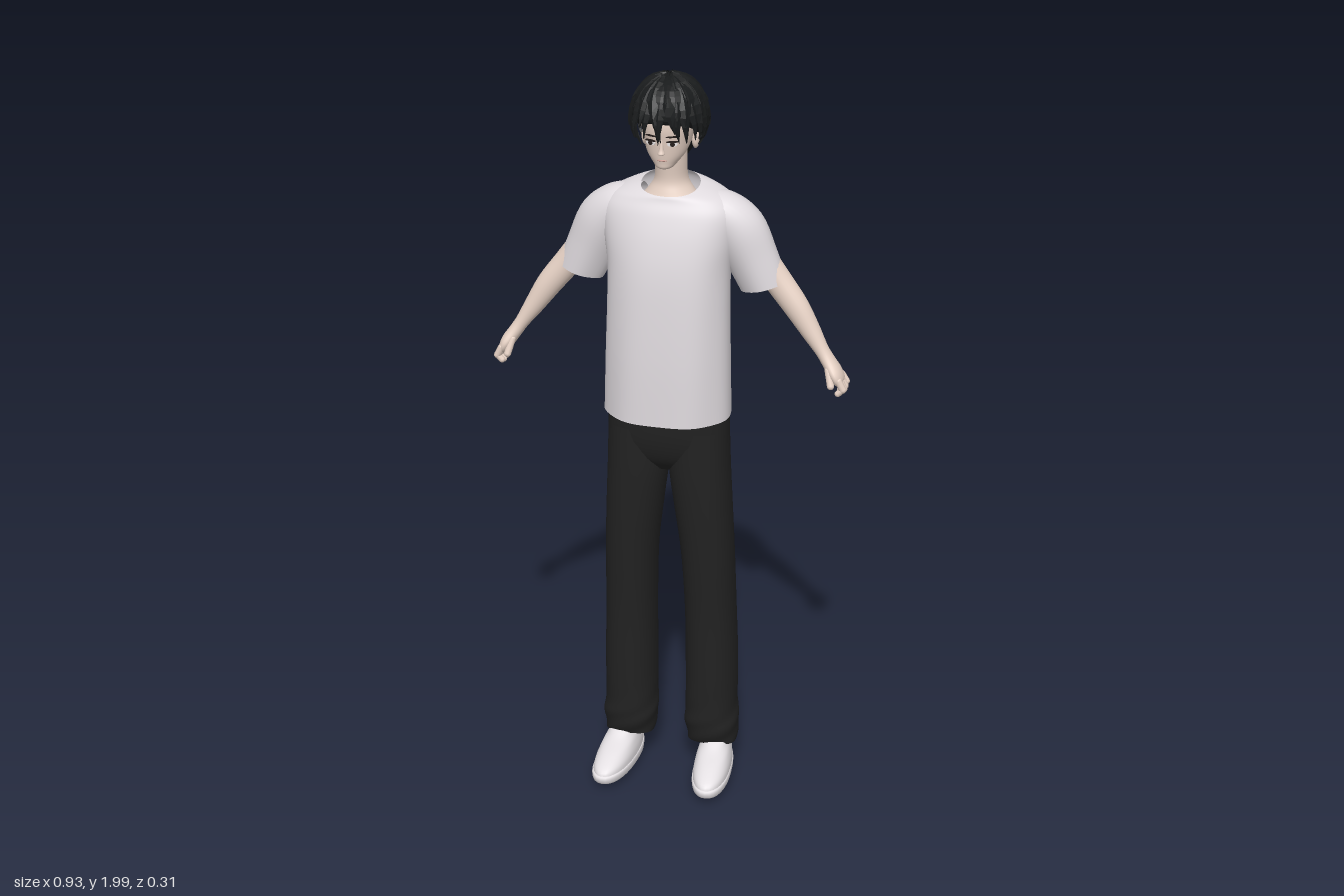
import * as THREE from 'three';

const paint = (name, color, extra = {}) => {
  const m = new THREE.MeshStandardMaterial({ color, ...extra });
  m.name = name;
  return m;
};

// Smooth skin through rings [x, y, z, halfWidth, halfDepth, tilt, slope], listed from bottom to top
function loft(rings, { sides = 32, steps = 5, power = 2, fold = () => 0 } = {}) {
  const pos = [], index = [];
  const rows = (rings.length - 1) * steps;
  const value = (k, f) => {
    const i = Math.min(Math.floor(f), rings.length - 2), t = f - i;
    const at = j => rings[Math.max(0, Math.min(rings.length - 1, j))][k] ?? 0;
    const p0 = at(i - 1), p1 = at(i), p2 = at(i + 1), p3 = at(i + 2);
    const m1 = (p2 - p0) / 2, m2 = (p3 - p1) / 2;
    return p1 + t * (m1 + t * (3 * (p2 - p1) - 2 * m1 - m2 + t * (2 * (p1 - p2) + m1 + m2)));
  };
  const bend = c => Math.sign(c) * Math.abs(c) ** (2 / power);
  for (let r = 0; r <= rows; r++) {
    const [x, y, z, a, b, tilt, slope] = [0, 1, 2, 3, 4, 5, 6].map(k => value(k, r / steps));
    for (let j = 0; j < sides; j++) {
      const t = j / sides * Math.PI * 2, grow = 1 + fold(t, r / rows);
      const u = Math.max(a, 0.0005) * bend(Math.cos(t)) * grow;
      const w = Math.max(b, 0.0005) * bend(Math.sin(t)) * grow;
      pos.push(x + u * Math.cos(tilt), y + u * Math.sin(tilt) + slope * Math.sin(t), z + w);
      if (r < rows) {
        const p = r * sides + j, q = r * sides + (j + 1) % sides;
        index.push(p, p + sides, q, q, p + sides, q + sides);
      }
    }
  }
  const g = new THREE.BufferGeometry();
  g.setAttribute('position', new THREE.Float32BufferAttribute(pos, 3));
  g.setIndex(index);
  g.computeVertexNormals();
  return g;
}

// Pointed hair lock lying on the skull, with a raised ridge and a flared tip
function lock(angle, from, to, width, lift, sweep) {
  const rows = 7, pos = [], index = [];
  const at = (th, phi, k) => [
    0.095 * k * Math.sin(phi) * Math.sin(th),
    1.883 + 0.106 * k * Math.cos(phi),
    -0.033 + 0.107 * k * Math.sin(phi) * Math.cos(th)];
  for (let i = 0; i <= rows; i++) {
    const s = i / rows, phi = from + (to - from) * s, th = angle + sweep * s * s;
    const half = width * (1 - s ** 2.2) / Math.max(0.4, Math.sin(phi));
    const k = 1 + lift * (0.3 + 0.7 * s);
    pos.push(...at(th - half, phi, k - 0.04), ...at(th, phi, k + 0.03 * (1 - s)), ...at(th + half, phi, k - 0.04));
    if (i < rows) for (let c = 0; c < 2; c++) {
      const p = i * 3 + c;
      index.push(p, p + 3, p + 1, p + 1, p + 3, p + 4);
    }
  }
  const g = new THREE.BufferGeometry();
  g.setAttribute('position', new THREE.Float32BufferAttribute(pos, 3));
  g.setIndex(index);
  g.computeVertexNormals();
  return g;
}

export function createModel() {
  const root = new THREE.Group();
  root.name = 'standingMan';
  const skin = paint('skin', 0xe8d3c6);
  const cotton = paint('shirt cotton', 0xdfdade, { side: THREE.DoubleSide });
  const cloth = paint('trouser cloth', 0x222222, { side: THREE.DoubleSide });
  const shoeWhite = paint('shoe white', 0xe4e0e3);
  const hairBlack = paint('hair black', 0x191b1c, { side: THREE.DoubleSide, flatShading: true });
  const eyeWhite = paint('eye white', 0xeeeaea);
  const eyeDark = paint('eye dark', 0x241d1b);
  const lip = paint('lip', 0xc79a90);

  const add = (name, geometry, material, parent = root) => {
    const m = new THREE.Mesh(geometry, material);
    m.name = name;
    parent.add(m);
    return m;
  };
  const mirrored = (rings, s) => rings.map(([x, y, z, a, b, tilt = 0, slope = 0]) => [x * s, y, z, a, b, tilt * s, slope]);
  const limb = (a, b, r) => {
    const p = new THREE.Vector3(...a), d = new THREE.Vector3(...b).sub(p);
    const g = new THREE.CapsuleGeometry(r, d.length(), 4, 10);
    g.applyQuaternion(new THREE.Quaternion().setFromUnitVectors(new THREE.Vector3(0, 1, 0), d.clone().normalize()));
    return g.translate(...p.addScaledVector(d, 0.5).toArray());
  };

  // Shirt body, open at hem and collar
  add('shirtBody', loft([
    [0, 1.095, -0.027, 0.165, 0.127], [0, 1.25, -0.027, 0.161, 0.124], [0, 1.4, -0.03, 0.157, 0.118],
    [0, 1.5, -0.035, 0.158, 0.112], [0, 1.58, -0.043, 0.17, 0.102], [0, 1.64, -0.052, 0.176, 0.09],
    [0, 1.675, -0.058, 0.155, 0.08, 0, -0.004], [0, 1.695, -0.055, 0.115, 0.072, 0, -0.012],
    [0, 1.706, -0.046, 0.075, 0.06, 0, -0.018],
  ], { sides: 64, power: 2.3, fold: (t, v) => 0.012 * Math.sin(7 * t + 3 * v) * (1 - v) ** 1.5 }), cotton);

  // Hips of the trousers
  add('trouserSeat', loft([
    [0, 0.935, -0.037, 0.13, 0.05], [0, 0.975, -0.036, 0.158, 0.08],
    [0, 1.04, -0.032, 0.16, 0.094], [0, 1.14, -0.031, 0.156, 0.098],
  ], { power: 2.4 }), cloth);

  for (const s of [1, -1]) {
    const side = s > 0 ? 'left' : 'right';

    add(side + 'Sleeve', loft(mirrored([
      [0.24, 1.448, -0.065, 0.061, 0.053, 0.28], [0.21, 1.515, -0.064, 0.066, 0.058, 0.45],
      [0.175, 1.585, -0.062, 0.073, 0.064, 0.75], [0.13, 1.632, -0.06, 0.06, 0.062, 1.1],
      [0.07, 1.65, -0.06, 0.045, 0.05, 1.4],
    ], s), { fold: (t, v) => 0.02 * Math.sin(5 * t) * (1 - v) }), cotton);

    add(side + 'Arm', loft(mirrored([
      [0.45, 1.208, -0.036, 0.002, 0.01, 0.65], [0.446, 1.216, -0.036, 0.014, 0.03, 0.65],
      [0.434, 1.238, -0.035, 0.018, 0.034, 0.65], [0.413, 1.268, -0.04, 0.018, 0.025, 0.65],
      [0.395, 1.295, -0.043, 0.019, 0.021, 0.68], [0.365, 1.34, -0.05, 0.026, 0.026, 0.68],
      [0.325, 1.4, -0.055, 0.033, 0.03, 0.68], [0.27, 1.47, -0.062, 0.036, 0.034, 0.68],
      [0.22, 1.54, -0.063, 0.036, 0.036, 0.68],
    ], s), { sides: 24 }), skin);

    // Loosely curled fingers and thumb
    [-0.062, -0.045, -0.028, -0.012].forEach((z, i) => {
      const drop = [0.008, 0.002, 0, 0.004][i];
      add(side + 'Finger' + (i + 1), limb([s * 0.446, 1.225, z], [s * 0.458, 1.198 + drop, z], 0.0095), skin);
      add(side + 'Fingertip' + (i + 1), limb([s * 0.458, 1.198 + drop, z], [s * 0.446, 1.186 + drop, z], 0.0085), skin);
    });
    add(side + 'Thumb', limb([s * 0.418, 1.25, -0.018], [s * 0.428, 1.212, -0.004], 0.0095), skin);

    // Trouser leg, loose at the ankle
    add(side + 'TrouserLeg', loft(mirrored([
      [0.117, 0.085, -0.066, 0.066, 0.068, 0, 0.015], [0.115, 0.15, -0.064, 0.074, 0.079],
      [0.113, 0.21, -0.066, 0.07, 0.083], [0.113, 0.33, -0.066, 0.07, 0.086],
      [0.11, 0.5, -0.059, 0.068, 0.084], [0.104, 0.68, -0.045, 0.07, 0.083],
      [0.092, 0.83, -0.037, 0.076, 0.085], [0.083, 0.94, -0.034, 0.08, 0.087], [0.081, 1.06, -0.032, 0.078, 0.086],
    ], s), { power: 2.25, fold: (t, v) => 0.03 * Math.sin(3 * t + 45 * v) * Math.max(0, 1 - 3 * v) }), cloth);

    // Shoe: thick sole with a turned-up toe, and a domed upper
    const shoe = new THREE.Group();
    shoe.name = side + 'Shoe';
    shoe.position.set(s * 0.134, 0, 0);
    shoe.rotation.y = s * 0.08;
    root.add(shoe);
    add('sole', loft([
      [0, 0.009, 0.005, 0.002, 0.002], [0, 0.009, 0.005, 0.044, 0.128, 0, 0.008],
      [0, 0.018, 0.008, 0.051, 0.144, 0, 0.008], [0, 0.034, 0.008, 0.052, 0.146, 0, 0.006],
      [0, 0.038, 0.006, 0.048, 0.14, 0, 0.006],
    ], { power: 2.3, steps: 3 }), shoeWhite, shoe);
    add('upper', loft([
      [0, 0.03, 0.007, 0.05, 0.143, 0, 0.006], [0, 0.055, 0.004, 0.049, 0.136], [0, 0.076, -0.016, 0.044, 0.106],
      [0, 0.093, -0.042, 0.038, 0.074], [0, 0.112, -0.06, 0.032, 0.05], [0, 0.12, -0.06, 0.002, 0.002],
    ], { power: 2.2 }), shoeWhite, shoe);

    // Ear and eye
    const ear = add(side + 'Ear', new THREE.SphereGeometry(1, 14, 10), skin);
    ear.scale.set(0.01, 0.024, 0.014);
    ear.position.set(s * 0.064, 1.825, -0.045);
    const eye = new THREE.Group();
    eye.name = side + 'Eye';
    eye.position.set(s * 0.027, 1.837, 0.046);
    eye.rotation.y = s * 0.38;
    root.add(eye);
    const disc = (name, rx, ry, y, z, mat) => {
      const m = add(name, new THREE.CylinderGeometry(1, 1, 1, 20).rotateX(Math.PI / 2), mat, eye);
      m.scale.set(rx, ry, 0.004);
      m.position.set(0, y, z);
    };
    disc('eyeball', 0.013, 0.006, 0, 0, eyeWhite);
    disc('iris', 0.006, 0.006, 0, 0.001, eyeDark);
    disc('upperLid', 0.015, 0.0022, 0.006, 0.001, eyeDark);
    disc('eyebrow', 0.016, 0.002, 0.018, 0, eyeDark);
  }

  // Neck and head
  add('neck', loft([
    [0, 1.66, -0.05, 0.085, 0.062], [0, 1.69, -0.053, 0.058, 0.052], [0, 1.72, -0.055, 0.042, 0.045],
    [0, 1.77, -0.05, 0.041, 0.045], [0, 1.82, -0.045, 0.042, 0.045],
  ]), skin);
  add('head', loft([
    [0, 1.762, 0.016, 0.002, 0.002], [0, 1.768, 0.012, 0.02, 0.024], [0, 1.782, 0.003, 0.033, 0.037],
    [0, 1.805, -0.012, 0.05, 0.056], [0, 1.84, -0.025, 0.061, 0.074], [0, 1.88, -0.032, 0.068, 0.085],
    [0, 1.93, -0.035, 0.064, 0.078], [0, 1.965, -0.035, 0.035, 0.045], [0, 1.975, -0.035, 0.002, 0.002],
  ], { power: 2.1 }), skin);
  add('nose', loft([
    [0, 1.806, 0.046, 0.002, 0.002], [0, 1.81, 0.048, 0.009, 0.011],
    [0, 1.822, 0.046, 0.006, 0.009], [0, 1.848, 0.043, 0.004, 0.007],
  ], { sides: 14 }), skin);
  const mouth = add('mouth', new THREE.SphereGeometry(1, 14, 8), lip);
  mouth.scale.set(0.013, 0.0025, 0.004);
  mouth.position.set(0, 1.791, 0.0405);

  // Hair: solid cap under layers of locks
  const hair = new THREE.Group();
  hair.name = 'hair';
  root.add(hair);
  add('hairCap', loft([
    [0, 1.772, -0.082, 0.034, 0.03, 0, 0.012], [0, 1.825, -0.068, 0.068, 0.07, 0, 0.035],
    [0, 1.862, -0.045, 0.087, 0.094, 0, 0.022], [0, 1.9, -0.034, 0.093, 0.104],
    [0, 1.945, -0.033, 0.082, 0.094], [0, 1.975, -0.034, 0.053, 0.062], [0, 1.988, -0.035, 0.002, 0.002],
  ], { sides: 28, steps: 3 }), hairBlack, hair);
  let seed = 7;
  const rand = () => (seed = (seed * 16807) % 2147483647) / 2147483647;
  const layer = (name, count, from, reach, width, lift) => {
    for (let i = 0; i < count; i++) {
      const angle = (i + 0.6 * rand()) / count * Math.PI * 2;
      const back = (1 - Math.cos(angle)) / 2;
      const to = reach + back * 0.55 * (reach / 1.9) + (rand() - 0.5) * 0.25;
      add(name, lock(angle, from, to, width, lift + 0.05 * rand(), (rand() - 0.35) * 0.4), hairBlack, hair);
    }
  };
  layer('longLock', 24, 0.5, 1.92, 0.19, 0.02);
  layer('middleLock', 18, 0.3, 1.6, 0.22, 0.06);
  layer('crownLock', 12, 0.08, 1.1, 0.2, 0.05);

  return root;
}
